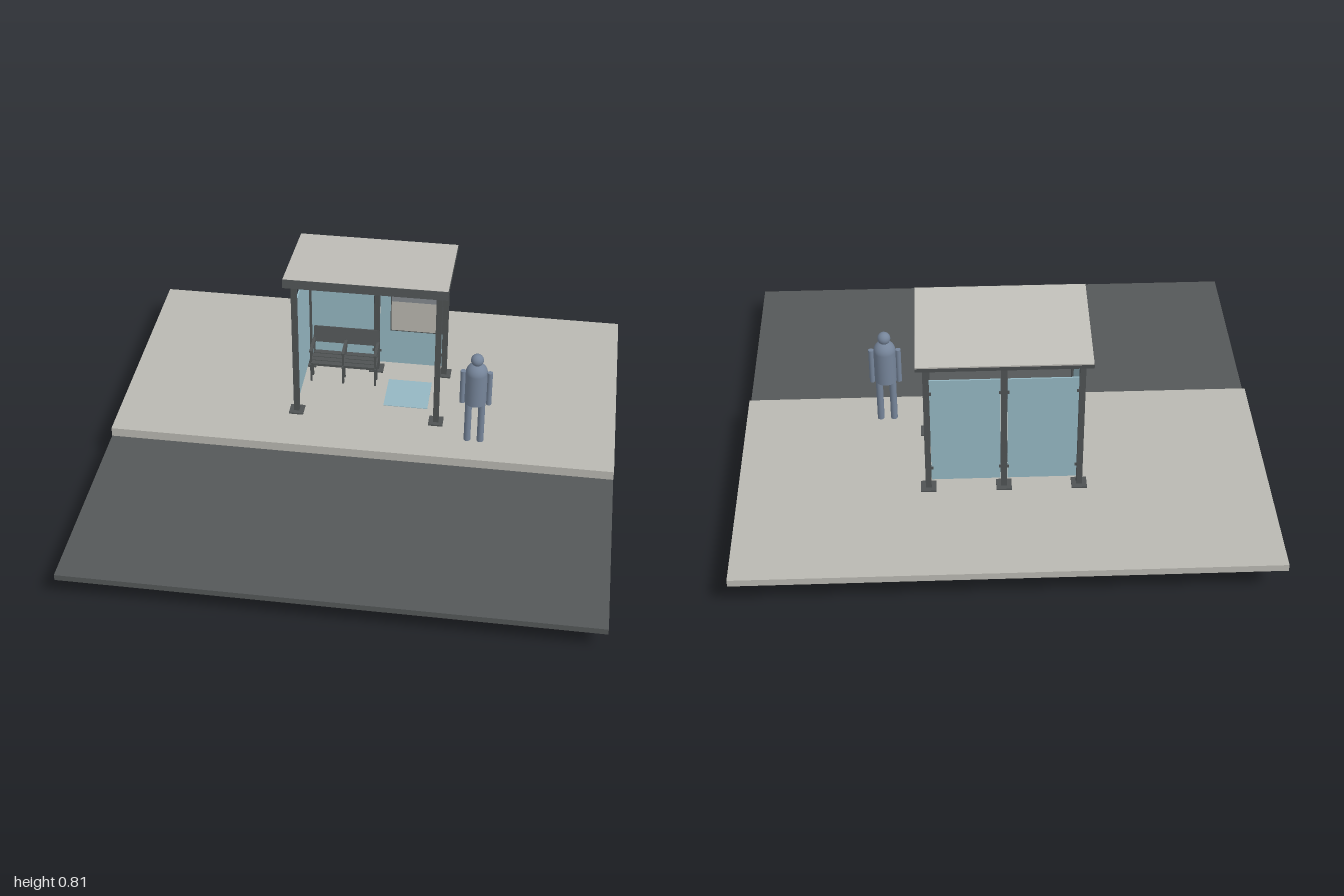
import * as THREE from 'three';

const mat = (name, color) => Object.assign(new THREE.MeshStandardMaterial({ color }), { name });

export function createModel() {
  const concrete = mat('concrete', 0xbab9b2);
  const asphalt = mat('asphalt', 0x555859);
  const steel = mat('dark steel', 0x4f5354);
  const glass = mat('blue glass', 0x95b7c2);
  const sheet = mat('roof sheet', 0xc0beb8);
  const board = mat('board paper', 0xbab8b0);
  const heading = mat('board heading', 0x858b90);
  const figure = mat('figure blue grey', 0x76859a);

  const root = new THREE.Group();
  root.name = 'busShelter';
  const group = (name, parent = root) => {
    const g = new THREE.Group();
    g.name = name;
    parent.add(g);
    return g;
  };
  const add = (parent, name, geometry, material, x = 0, y = 0, z = 0) => {
    const m = new THREE.Mesh(geometry, material);
    m.name = name;
    m.position.set(x, y, z);
    parent.add(m);
    return m;
  };
  // Box given by its lower and upper limits on each axis
  const box = (parent, name, material, x0, x1, y0, y1, z0, z1) =>
    add(parent, name, new THREE.BoxGeometry(x1 - x0, y1 - y0, z1 - z0), material,
      (x0 + x1) / 2, (y0 + y1) / 2, (z0 + z1) / 2);

  // Ground: pavement, curb and road
  const ground = group('ground');
  box(ground, 'pavement', concrete, -1, 1, 0.124, 0.152, -0.922, 0.07);
  box(ground, 'curb', concrete, -1, 1, 0.092, 0.152, 0.07, 0.1);
  box(ground, 'road', asphalt, -1, 1, 0.09, 0.114, 0.1, 0.922);
  box(ground, 'waitingSpaceMarking', glass, 0.06, 0.24, 0.152, 0.154, -0.38, -0.2);

  // Posts with base plates and buried footings
  const frame = group('frame');
  const zFront = -0.122, zBack = -0.451, xs = 0.283;
  const posts = [[-xs, zFront, 0.756], [xs, zFront, 0.756],
    [-xs, zBack, 0.72], [0, zBack, 0.72], [xs, zBack, 0.72]];
  for (const [x, z, top] of posts) {
    box(frame, 'post', steel, x - 0.011, x + 0.011, 0.152, top, z - 0.011, z + 0.011);
    box(frame, 'basePlate', steel, x - 0.029, x + 0.029, 0.152, 0.158, z - 0.029, z + 0.029);
    box(frame, 'roofBracket', steel, x - 0.004, x + 0.004, top, top + 0.03, z - 0.005, z + 0.005);
    box(frame, 'footing', concrete, x - 0.058, x + 0.058, 0, 0.124, z - 0.058, z + 0.058);
  }
  box(frame, 'rearBeam', steel, -xs, xs, 0.721, 0.739, zBack - 0.006, zBack + 0.006);

  // Sloping roof: light sheet over a steel frame
  const roof = group('roof');
  roof.position.set(0, 0.781, -0.291);
  roof.rotation.x = -0.122;
  box(roof, 'roofSheet', sheet, -0.318, 0.318, -0.005, 0.001, -0.213, 0.213);
  for (const x of [-0.31, 0, 0.31])
    box(roof, 'rafter', steel, x - 0.008, x + 0.008, -0.022, -0.005, -0.21, 0.206);
  box(roof, 'rearEdge', steel, -0.318, 0.318, -0.022, -0.005, -0.213, -0.2);
  box(roof, 'frontFascia', steel, -0.319, 0.319, -0.036, 0.0005, 0.204, 0.214);
  for (const s of [-1, 1])
    add(roof, 'sideEdge', new THREE.BoxGeometry(0.002, 0.02, 0.424), steel, s * 0.318, -0.012, 0);

  // Glazing: two rear panes and one side pane
  const glazing = group('glazing');
  for (const s of [-1, 1])
    box(glazing, 'rearPane', glass, s * 0.142 - 0.129, s * 0.142 + 0.129, 0.192, 0.658,
      zBack - 0.003, zBack + 0.003);
  box(glazing, 'sidePane', glass, -xs - 0.003, -xs + 0.003, 0.192, 0.658, -0.438, -0.135);
  for (const y of [0.25, 0.6]) {
    for (const x of [-0.27, -0.013, 0.013, 0.27])
      box(glazing, 'paneClip', steel, x - 0.006, x + 0.006, y - 0.006, y + 0.006, zBack - 0.006, zBack + 0.006);
    for (const z of [-0.438, -0.135])
      box(glazing, 'paneClip', steel, -xs - 0.006, -xs + 0.006, y - 0.006, y + 0.006, z - 0.006, z + 0.006);
  }

  // Notice board on the rear pane
  const notice = group('noticeBoard');
  box(notice, 'boardFrame', steel, 0.058, 0.272, 0.364, 0.542, -0.448, -0.433);
  box(notice, 'boardPaper', board, 0.062, 0.268, 0.369, 0.51, -0.433, -0.431);
  box(notice, 'boardHeading', heading, 0.062, 0.268, 0.51, 0.536, -0.433, -0.431);

  // Two-seat bench with arms
  const bench = group('bench');
  const xMid = -0.125;
  for (const s of [-1, 1]) {
    const x = xMid + s * 0.068;
    for (let i = 0; i < 4; i++) {
      const z = -0.33 - i * 0.026;
      box(bench, 'seatSlat', steel, x - 0.064, x + 0.064, 0.237, 0.248, z - 0.011, z + 0.011);
    }
    const back = add(bench, 'backrest', new THREE.BoxGeometry(0.132, 0.068, 0.008), steel, x, 0.322, -0.43);
    back.rotation.x = -0.25;
  }
  for (const x of [-0.258, xMid, 0.008]) {
    const w = 0.004;
    for (const z of [-0.33, -0.372])
      box(bench, 'leg', steel, x - w, x + w, 0.152, 0.24, z - w, z + w);
    box(bench, 'seatRail', steel, x - w, x + w, 0.232, 0.24, -0.414, -0.318);
    box(bench, 'armPost', steel, x - w, x + w, 0.24, 0.304, -0.334, -0.326);
    box(bench, 'armRest', steel, x - 0.006, x + 0.006, 0.298, 0.306, -0.425, -0.322);
    const upright = add(bench, 'backUpright', new THREE.BoxGeometry(0.008, 0.12, 0.008), steel, x, 0.294, -0.426);
    upright.rotation.x = -0.25;
  }

  // Standing person
  const person = group('person');
  person.position.set(0.443, 0.152, -0.028);
  const torso = [[0, 0.192], [0.043, 0.192], [0.043, 0.33]].map(p => new THREE.Vector2(...p));
  for (let i = 1; i <= 8; i++) {
    const a = i / 8 * Math.PI / 2;
    torso.push(new THREE.Vector2(0.043 * Math.cos(a), 0.33 + 0.043 * Math.sin(a)));
  }
  // Doubled points keep the hem crisp
  torso.splice(1, 0, torso[1].clone());
  add(person, 'torso', new THREE.LatheGeometry(torso, 24), figure);
  add(person, 'head', new THREE.SphereGeometry(0.025, 24, 16), figure, 0, 0.389, 0);
  for (const s of [-1, 1]) {
    add(person, 'leg', new THREE.CylinderGeometry(0.0135, 0.0135, 0.195, 16), figure, s * 0.026, 0.0975, 0);
    add(person, 'arm', new THREE.CylinderGeometry(0.0105, 0.0105, 0.15, 16), figure, s * 0.052, 0.259, 0);
  }
  return root;
}
